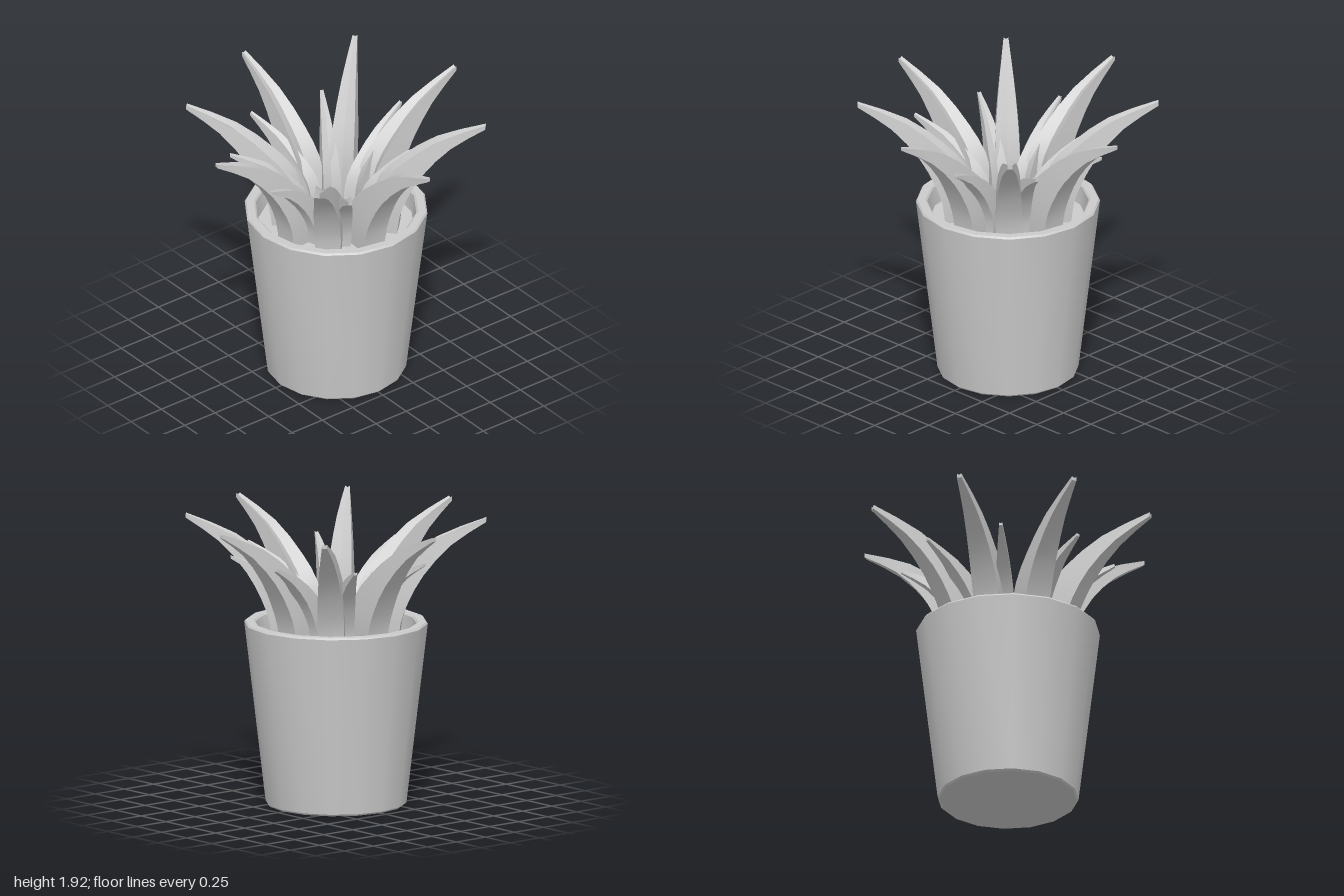
import * as THREE from 'three';
import { toCreasedNormals } from 'three/addons/utils/BufferGeometryUtils.js';

const material = new THREE.MeshStandardMaterial({ color: 0xcccccc });
const SOIL_Y = 1.08;

function addMesh(parent, name, geometry) {
  const mesh = new THREE.Mesh(geometry, material);
  mesh.name = name;
  parent.add(mesh);
  return mesh;
}

// Arching leaf in the xy plane: flat outer face, side walls, V groove on the inner face
function leafGeometry() {
  const spline = (pts) => new THREE.CatmullRomCurve3(pts.map((p) => new THREE.Vector3(...p)));
  // x = radius, y = height relative to the soil, z = half width
  const outer = spline([
    [0.41, -0.03, 0.078], [0.43, 0.14, 0.087], [0.48, 0.28, 0.085],
    [0.58, 0.46, 0.073], [0.76, 0.66, 0.047], [0.985, 0.81, 0.016],
  ]);
  const inner = spline([
    [0.22, -0.03, 0.07], [0.23, 0.18, 0.082], [0.28, 0.35, 0.08],
    [0.42, 0.51, 0.07], [0.66, 0.7, 0.046], [0.985, 0.838, 0.016],
  ]);
  const steps = 10, n = 5;
  const positions = [], index = [];
  for (let i = 0; i <= steps; i++) {
    const o = outer.getPoint(i / steps), p = inner.getPoint(i / steps);
    const groove = p.clone().lerp(o, 0.3);
    positions.push(
      o.x, o.y, o.z,
      o.x, o.y, -o.z,
      p.x, p.y, -p.z,
      groove.x, groove.y, 0,
      p.x, p.y, p.z,
    );
    if (i === steps) break;
    for (let j = 0; j < n; j++) {
      const a = i * n + j, b = i * n + (j + 1) % n;
      index.push(a, b, b + n, a, b + n, a + n);
    }
  }
  // Blunt tip
  const t = steps * n;
  index.push(t + 3, t + 4, t, t + 3, t, t + 1, t + 3, t + 1, t + 2);
  const geometry = new THREE.BufferGeometry();
  geometry.setAttribute('position', new THREE.Float32BufferAttribute(positions, 3));
  geometry.setIndex(index);
  return toCreasedNormals(geometry, 0.45);
}

export function createModel() {
  const model = new THREE.Group();
  model.name = 'pottedPlant';

  // Tapered pot with small bevels and a thick rim
  const profile = [
    [0, 0], [0.45, 0], [0.462, 0.012], [0.602, 1.203], [0.592, 1.215],
    [0.54, 1.215], [0.528, 1.203], [0.505, 1.02],
  ].map(([r, y]) => new THREE.Vector2(r, y));
  addMesh(model, 'pot', toCreasedNormals(new THREE.LatheGeometry(profile, 16), 0.5));

  // Soil disc
  const soil = addMesh(model, 'soil', new THREE.CircleGeometry(0.514, 16));
  soil.rotation.x = -Math.PI / 2;
  soil.position.y = SOIL_Y;

  // Two rings of eight leaves
  const leaf = leafGeometry();
  const addRing = (name, scale, start) => {
    const ring = new THREE.Group();
    ring.name = name + 's';
    ring.position.y = SOIL_Y;
    for (let k = 0; k < 8; k++) {
      const mesh = addMesh(ring, name, leaf);
      mesh.scale.setScalar(scale);
      mesh.rotation.y = start + (k * Math.PI) / 4;
    }
    model.add(ring);
  };
  addRing('largeLeaf', 1, 0);
  addRing('smallLeaf', 0.71, -Math.PI / 6);

  return model;
}
